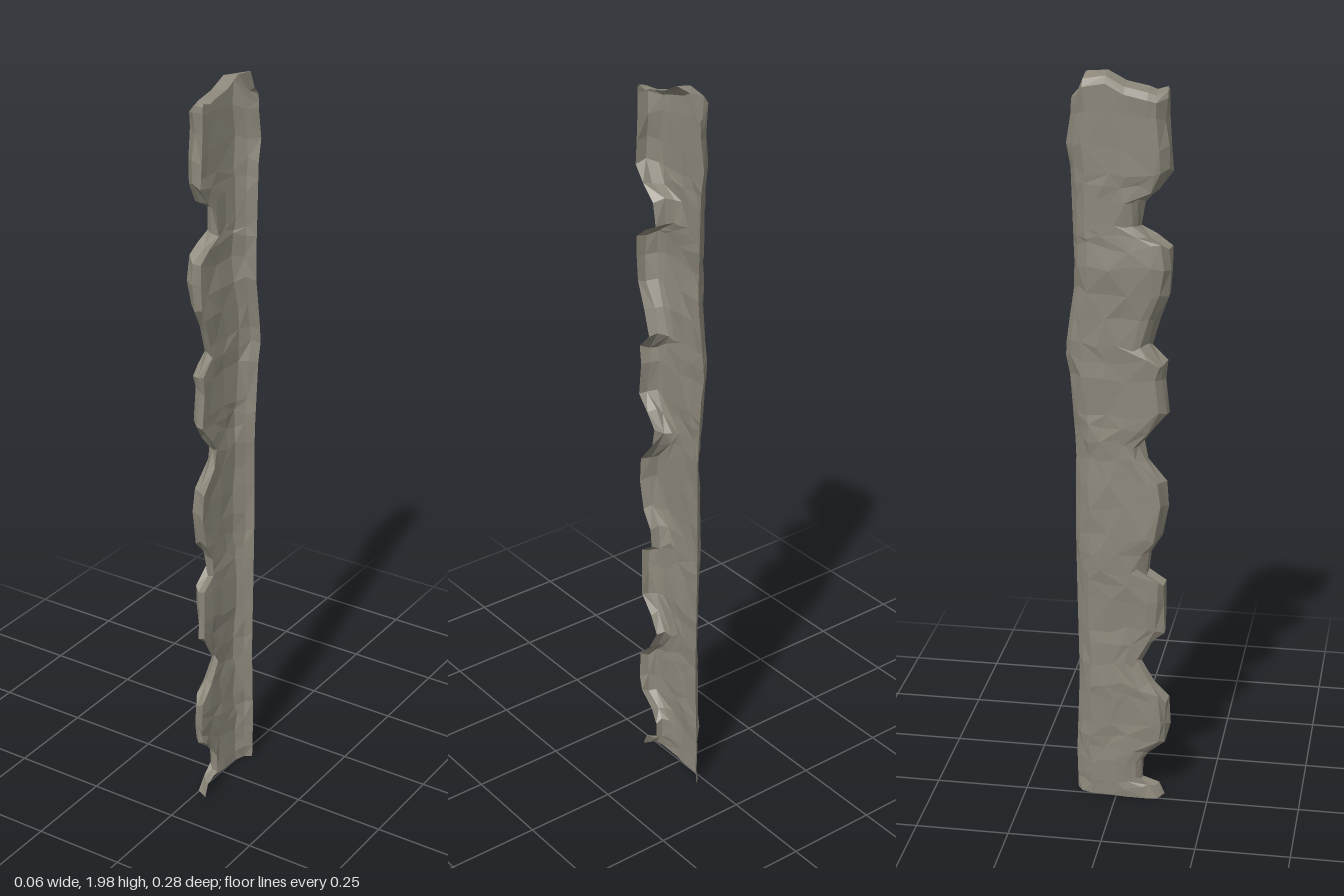
import * as THREE from 'three';

const RIM = 0.03; // plane of the open side

// piecewise linear lookup in [key, value] pairs
function lookup(table, t) {
  if (t <= table[0][0]) return table[0][1];
  for (let i = 1; i < table.length; i++) {
    const [a, va] = table[i - 1], [b, vb] = table[i];
    if (t <= b) return va + (vb - va) * (t - a) / (b - a);
  }
  return table[table.length - 1][1];
}

// scalloped front edge: [y, z]
const frontEdge = [
  [0, 0.13], [0.035, 0.115], [0.05, 0.07], [0.1, 0.07], [0.14, 0.09], [0.18, 0.135], [0.22, 0.145],
  [0.3, 0.14], [0.34, 0.1], [0.4, 0.065], [0.45, 0.09], [0.5, 0.13], [0.58, 0.13], [0.64, 0.13],
  [0.67, 0.085], [0.72, 0.09], [0.77, 0.12], [0.85, 0.135], [0.92, 0.13], [0.98, 0.08], [1.03, 0.07],
  [1.07, 0.1], [1.11, 0.135], [1.2, 0.125], [1.25, 0.13], [1.29, 0.09], [1.36, 0.11], [1.43, 0.135],
  [1.5, 0.14], [1.55, 0.14], [1.58, 0.1], [1.6, 0.06], [1.66, 0.07], [1.7, 0.11], [1.74, 0.14],
  [1.8, 0.135], [1.88, 0.13],
];
// nearly straight back edge: [y, z]
const backEdge = [
  [0, -0.11], [0.12, -0.113], [0.35, -0.105], [0.6, -0.11], [0.8, -0.113], [1, -0.11], [1.2, -0.125],
  [1.26, -0.137], [1.35, -0.125], [1.45, -0.11], [1.6, -0.115], [1.75, -0.12], [1.82, -0.135], [1.87, -0.118],
];
// x of the broad face: [y, x]
const faceDepth = [
  [0, -0.005], [0.35, -0.012], [0.5, -0.007], [0.75, -0.018], [1, -0.012], [1.4, -0.018],
  [1.48, -0.028], [1.6, -0.02], [1.8, -0.027], [1.95, -0.028],
];
// broken top outline: [z, y]
const topEdge = [
  [-0.11, 1.92], [-0.095, 1.94], [-0.08, 1.98], [-0.05, 2], [0, 1.97], [0.02, 1.96],
  [0.06, 1.955], [0.1, 1.94], [0.13, 1.95],
];

function seeded(seed) {
  let s = seed;
  return () => ((s = (s * 16807) % 2147483647) / 2147483647) - 0.5;
}

// one cross-section from the back rim around to the front rim
function section(y, rnd) {
  const zb = lookup(backEdge, y), zf = lookup(frontEdge, y), d = lookup(faceDepth, y);
  const span = RIM - d, mid = (zb + zf) / 2;
  const points = [
    [RIM, zb], [RIM - span * 0.45, zb + 0.016], [RIM - span * 0.85, zb + 0.04],
    [d + 0.002, mid - 0.025], [d, mid + 0.02], [d, zf - 0.045],
    [d + 0.004, zf - 0.022], [RIM - span * 0.5, zf - 0.007], [RIM, zf],
  ];
  return points.map(([x, z], i) => {
    const rim = i === 0 || i === points.length - 1;
    return rim ? [x, y, z]
      : [x + rnd() * 0.006, y + (y > 0 ? rnd() * 0.025 : 0), z + rnd() * 0.014];
  });
}

function rockShell() {
  const rnd = seeded(71);
  const rows = frontEdge.map(([y]) => section(y, rnd));

  // top rows bend over to the rim
  const last = section(1.88, rnd);
  for (const [drop, bend] of [[0.025, 0], [0.008, 0.25], [0, 1]]) {
    rows.push(last.map(([x, , z]) => {
      const zz = z * (1 - 0.04 * bend);
      return [x + (RIM - x) * bend, lookup(topEdge, zz) - drop, zz];
    }));
  }

  const cols = rows[0].length, index = [];
  for (let r = 0; r + 1 < rows.length; r++) {
    for (let c = 0; c + 1 < cols; c++) {
      const a = r * cols + c, b = a + 1, e = a + cols, f = e + 1;
      if ((r + c) % 2) index.push(a, b, f, a, f, e);
      else index.push(a, b, e, b, f, e);
    }
  }
  const geometry = new THREE.BufferGeometry();
  geometry.setAttribute('position', new THREE.Float32BufferAttribute(rows.flat(2), 3));
  geometry.setIndex(index);
  const flat = geometry.toNonIndexed();
  flat.computeVertexNormals();
  return flat;
}

export function createModel() {
  const stone = new THREE.MeshStandardMaterial({ color: 0x8c877a, side: THREE.DoubleSide, flatShading: true });
  stone.name = 'greyStone';

  const group = new THREE.Group();
  group.name = 'stoneEdgeStrip';
  const shell = new THREE.Mesh(rockShell(), stone);
  shell.name = 'rockShell';
  group.add(shell);
  return group;
}
